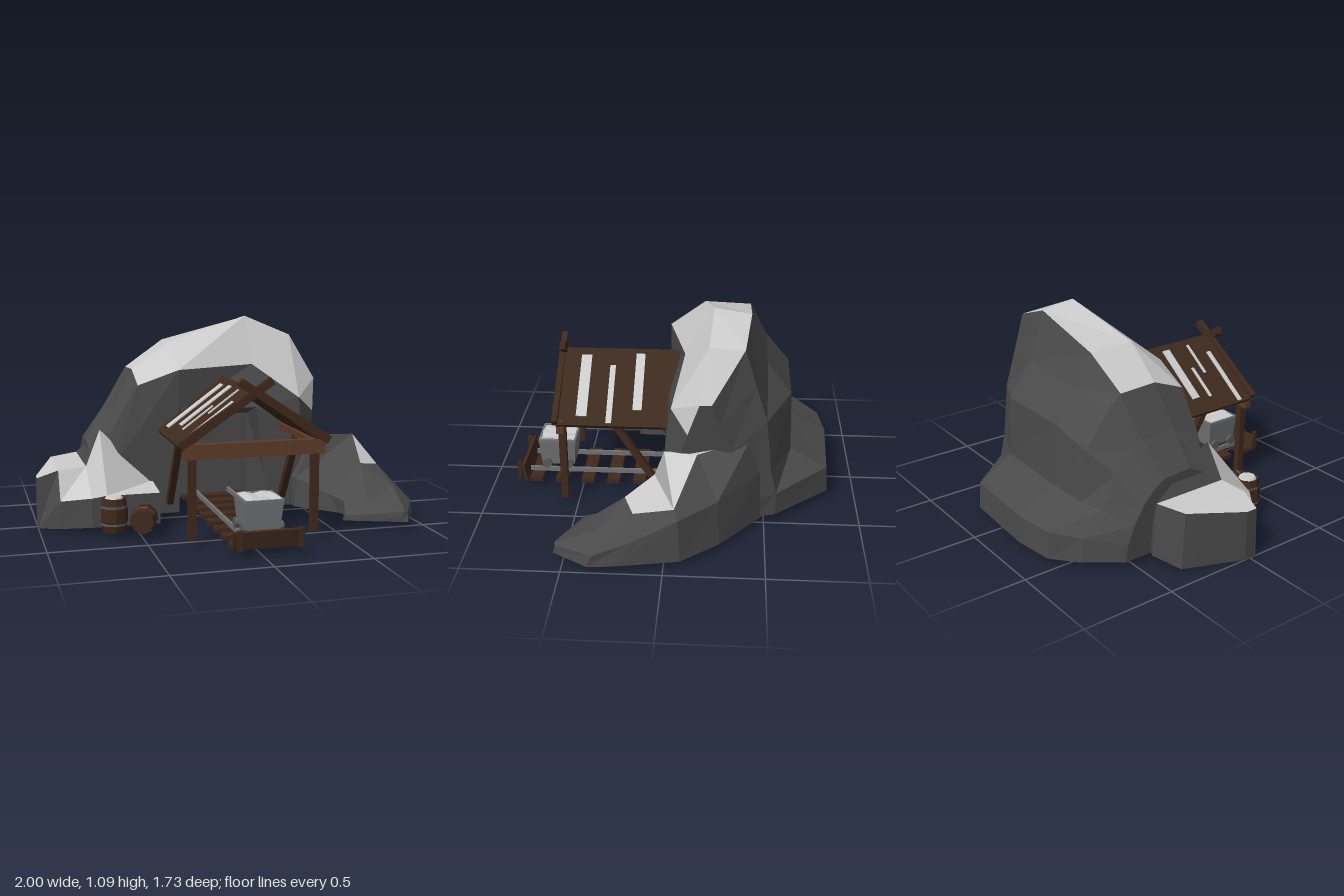
import * as THREE from 'three';

const mat = (color) => new THREE.MeshStandardMaterial({ color, flatShading: true, side: THREE.DoubleSide });
const ROCK = mat(0x4a4a4a), SNOW = mat(0xcccccc), WOOD = mat(0x40291d), PLANK = mat(0x3d2a1e),
  BEAM = mat(0x5e3c28), IRON = mat(0x707274), BAND = mat(0x5a5a5a);
const CX = 0.03; // centre line of shelter and track
const BASE = 0.035;

function add(parent, name, geo, material, x = 0, y = 0, z = 0) {
  const m = new THREE.Mesh(geo, material);
  m.name = name;
  m.position.set(x, y, z);
  parent.add(m);
  return m;
}

const box = (parent, name, material, w, h, d, x, y, z) =>
  add(parent, name, new THREE.BoxGeometry(w, h, d), material, x, y, z);

// Beam with a square section between two points
function strut(parent, name, material, a, b, w, d) {
  const p = new THREE.Vector3(...a), q = new THREE.Vector3(...b);
  const m = box(parent, name, material, w, p.distanceTo(q), d, 0, 0, 0);
  m.position.copy(p).add(q).multiplyScalar(0.5);
  m.quaternion.setFromUnitVectors(new THREE.Vector3(0, 1, 0), q.sub(p).normalize());
}

// Faceted shell, open underneath, through arched sections; isSnow(i, j) picks the snowy patches
function loftRock(parent, name, rings, isSnow) {
  const rock = [], snow = [], n = rings[0].length;
  const tri = (out, ...pts) => pts.forEach((p) => out.push(...p));
  for (let i = 0; i < rings.length - 1; i++) {
    for (let j = 0; j < n - 1; j++) {
      const out = isSnow(i, j) ? snow : rock;
      const a = rings[i][j], b = rings[i + 1][j], c = rings[i + 1][j + 1], d = rings[i][j + 1];
      tri(out, a, b, c);
      tri(out, a, c, d);
    }
  }
  const first = rings[0], last = rings[rings.length - 1];
  for (let j = 1; j < n - 1; j++) {
    tri(rock, first[0], first[j], first[j + 1]);
    tri(rock, last[0], last[j + 1], last[j]);
  }
  const g = new THREE.Group();
  g.name = name;
  for (const [label, pos, m] of [['rock', rock, ROCK], ['snowCover', snow, SNOW]]) {
    const geo = new THREE.BufferGeometry();
    geo.setAttribute('position', new THREE.Float32BufferAttribute(pos, 3));
    geo.computeVertexNormals();
    add(g, label, geo, m);
  }
  parent.add(g);
}

function buildHill(root) {
  // x, front z, then (z, y) pairs from the front lip over the ridge to the back, then back z
  const rows = [
    [-0.71, 0.0, 0, 0.2, -0.06, 0.38, -0.16, 0.43, -0.32, 0.42, -0.38, 0.38, -0.44, 0.32, -0.5, 0.22, -0.54, 0.12, -0.55],
    [-0.58, 0.03, 0.03, 0.35, 0, 0.53, -0.15, 0.58, -0.36, 0.59, -0.42, 0.55, -0.52, 0.45, -0.6, 0.28, -0.71, 0.16, -0.73],
    [-0.45, 0.03, 0.03, 0.5, 0.0, 0.74, -0.18, 0.81, -0.39, 0.8, -0.46, 0.74, -0.6, 0.55, -0.63, 0.28, -0.83, 0.18, -0.84],
    [-0.23, 0.03, 0.03, 0.6, 0.03, 0.82, -0.16, 0.96, -0.41, 0.95, -0.5, 0.78, -0.63, 0.62, -0.65, 0.29, -0.86, 0.18, -0.87],
    [0.21, 0.03, 0.02, 0.6, -0.07, 0.83, -0.22, 1.09, -0.41, 1.06, -0.5, 0.79, -0.63, 0.62, -0.64, 0.29, -0.84, 0.18, -0.85],
    [0.47, 0.02, 0.02, 0.42, -0.01, 0.64, -0.2, 0.98, -0.38, 0.97, -0.44, 0.77, -0.5, 0.58, -0.53, 0.29, -0.56, 0.16, -0.56],
    [0.6, -0.04, -0.05, 0.38, -0.1, 0.55, -0.16, 0.73, -0.22, 0.73, -0.26, 0.6, -0.32, 0.45, -0.38, 0.28, -0.44, 0.15, -0.46],
  ];
  const rings = rows.map((r) => {
    const ring = [[r[0], BASE, r[1]], [r[0], 0.2, r[1]]];
    for (let k = 2; k < 18; k += 2) ring.push([r[0], r[k + 1], r[k]]);
    ring.push([r[0], BASE, r[18]]);
    return ring;
  });
  // The end of the ridge overhangs its foot
  for (const p of rings[6]) p[0] = 0.5 + 0.15 * p[1];
  // Cave mouth: the foot of the front steps back between the two middle rings
  const carve = (ring, inset) => [
    [ring[0][0] + inset, BASE, -0.3], [ring[0][0] + inset, 0.52, -0.3], ...ring.slice(2)];
  rings.splice(4, 0, carve(rings[3], 0.05), carve(rings[4], 0.04));
  for (const k of [0, 1]) rings[6][k][0] += 0.05;
  loftRock(root, 'hill', rings, (i, j) => i >= 2 && (j === 3 || j === 4));

  // Low spur on one side of the track, curling forward
  const spur = [
    [[0.42, BASE, 0], [0.42, 0.2, 0.02], [0.5, 0.41, -0.03], [0.5, 0.5, -0.42], [0.5, 0.3, -0.47], [0.51, BASE, -0.48]],
    [[0.42, BASE, 0.07], [0.43, 0.2, 0.07], [0.54, 0.43, 0.02], [0.6, 0.45, -0.15], [0.75, 0.27, -0.26], [0.77, BASE, -0.27]],
    [[0.61, BASE, 0.27], [0.57, 0.13, 0.22], [0.77, 0.43, 0.05], [0.88, 0.3, -0.05], [0.92, 0.26, -0.07], [0.93, BASE, -0.08]],
    [[0.62, BASE, 0.31], [0.62, 0.11, 0.31], [0.76, 0.29, 0.2], [0.88, 0.27, 0.15], [0.97, 0.15, 0.18], [0.99, BASE, 0.24]],
    [[0.57, BASE, 0.43], [0.58, 0.06, 0.43], [0.72, 0.12, 0.41], [0.9, 0.18, 0.33], [1, 0.1, 0.34], [1, BASE, 0.37]],
    [[0.86, BASE, 0.54], [0.86, 0.06, 0.54], [0.87, 0.09, 0.54], [0.88, 0.09, 0.54], [0.89, 0.08, 0.54], [0.89, BASE, 0.55]],
  ];
  loftRock(root, 'rightSpur', spur, (i, j) => i < 3 && j === 2);

  // Boulder on the other side, undercut at its tip
  const boulder = [
    [-1, 0.04, 0, 0.04, 0.15, 0.03, 0.27, -0.03, 0.27, -0.03, 0],
    [-0.89, 0.12, 0.01, 0.13, 0.16, 0.05, 0.31, -0.33, 0.31, -0.35, 0.01],
    [-0.74, 0.23, BASE, 0.23, 0.19, 0.03, 0.32, -0.39, 0.32, -0.41, BASE],
    [-0.66, 0.23, BASE, 0.23, 0.2, 0, 0.51, -0.06, 0.48, -0.38, BASE],
    [-0.38, 0.23, BASE, 0.23, 0.2, 0.02, 0.22, -0.05, 0.22, -0.3, BASE],
  ].map((r) => [1, 3, 5, 7, 9].map((k) => [r[0], r[k + 1], r[k]]));
  boulder[0][1][0] = -0.95;
  loftRock(root, 'leftBoulder', boulder, (i, j) => j === 2 ? i < 2 : j === 1 && i > 0);
}

function buildShelter(root) {
  const g = new THREE.Group();
  g.name = 'shelter';
  root.add(g);
  const half = 0.378, eave = 0.495, ridge = 0.77;
  const pitch = Math.atan2(ridge - eave, half);
  const c = Math.cos(pitch);
  box(g, 'frontBeam', BEAM, 0.74, 0.075, 0.04, CX, 0.478, 0.575);
  for (const s of [-1, 1]) {
    box(g, 'post', WOOD, 0.038, 0.41, 0.038, CX + s * 0.32, BASE + 0.205, 0.57);
    box(g, 'sideBeam', BEAM, 0.04, 0.035, 0.62, CX + s * 0.33, 0.492, 0.28);
    strut(g, 'brace', WOOD, [CX + s * 0.32, 0.48, 0.29], [CX + s * 0.32, 0.1, 0.05], 0.035, 0.035);
    // Crossed gable rafters
    strut(g, 'gableRafter', WOOD, [CX + s * 0.385, 0.51, 0.595 + s * 0.004],
      [CX - s * 0.085, 0.82, 0.595 + s * 0.004], 0.042, 0.03);
    // Roof slope, with its snow strips given as [inner, outer, z, width]
    const slope = new THREE.Group();
    slope.name = 'roofSlope';
    slope.position.set(CX, ridge, 0);
    slope.rotation.z = -s * pitch;
    g.add(slope);
    box(slope, 'roofBoards', PLANK, half / c, 0.022, 0.64, s * half / c / 2, -0.006, 0.27);
    const strips = s < 0
      ? [[0.04, 0.34, 0.117, 0.055], [0.03, 0.3, 0.25, 0.048], [0.15, 0.31, 0.345, 0.017],
        [0.03, 0.19, 0.405, 0.015], [0.09, 0.37, 0.51, 0.026]]
      : [[0.025, 0.3, 0.175, 0.048], [0.085, 0.365, 0.32, 0.03], [0.035, 0.335, 0.465, 0.056]];
    for (const [a, b, z, w] of strips) {
      box(slope, 'snowStrip', SNOW, (b - a) / c, 0.008, w, s * (a + b) / 2 / c, 0.007, z);
    }
  }
}

function buildTrack(root) {
  const g = new THREE.Group();
  g.name = 'track';
  root.add(g);
  for (let i = 0; i < 8; i++) box(g, 'sleeper', WOOD, 0.36, 0.025, 0.07, CX, BASE + 0.013, 0.755 - i * 0.143);
  for (const s of [-1, 1]) {
    box(g, 'rail', IRON, 0.015, 0.025, 1.08, CX + s * 0.1, 0.075, 0.26);
    box(g, 'bufferPost', WOOD, 0.022, 0.1, 0.022, CX + s * 0.155, 0.09, 0.85);
  }
  const board = box(g, 'bufferBoard', WOOD, 0.36, 0.09, 0.018, CX, 0.083, 0.82);
  board.rotation.x = 0.2;
}

function buildCart(root) {
  const g = new THREE.Group();
  g.name = 'mineCart';
  g.position.set(CX, 0, 0.645);
  root.add(g);
  // Tub flaring towards its rim
  const tub = new THREE.BoxGeometry(0.2, 0.15, 0.205);
  const p = tub.attributes.position;
  for (let i = 0; i < p.count; i++) {
    if (p.getY(i) < 0) p.setXYZ(i, p.getX(i) * 0.84, p.getY(i), p.getZ(i) * 0.88);
  }
  add(g, 'tub', tub, IRON, 0, 0.172, 0);
  for (const s of [-1, 1]) {
    box(g, 'rim', IRON, 0.012, 0.014, 0.205, s * 0.096, 0.248, 0);
    box(g, 'rim', IRON, 0.19, 0.014, 0.012, 0, 0.248, s * 0.098);
    for (const z of [-0.06, 0.06]) {
      const wheel = add(g, 'wheel', new THREE.CylinderGeometry(0.027, 0.027, 0.018, 10), BAND, s * 0.1, 0.11, z);
      wheel.rotation.z = Math.PI / 2;
    }
  }
  // Bumpy snow load
  const load = new THREE.PlaneGeometry(0.18, 0.19, 4, 4).rotateX(-Math.PI / 2);
  const q = load.attributes.position;
  for (let i = 0; i < q.count; i++) q.setY(i, 0.006 * Math.sin(i * 2.4));
  add(g, 'load', load, SNOW, 0, 0.253, 0);
}

function buildBarrel(root, name, snowy) {
  const g = new THREE.Group();
  g.name = name;
  root.add(g);
  const profile = [[0, -0.08], [0.052, -0.08], [0.052, -0.087], [0.06, -0.087], [0.07, -0.03], [0.07, 0.03],
    [0.06, 0.087], [0.052, 0.087], [0.052, 0.08], [0, 0.08]].map(([x, y]) => new THREE.Vector2(x, y));
  add(g, 'staves', new THREE.LatheGeometry(profile, 9), WOOD);
  for (const y of [-0.045, 0.045]) {
    add(g, 'hoop', new THREE.CylinderGeometry(0.07, 0.07, 0.012, 9, 1, true), BAND, 0, y, 0);
  }
  if (snowy) add(g, 'snowTop', new THREE.CylinderGeometry(0.042, 0.053, 0.018, 9), SNOW, 0, 0.085, 0);
  return g;
}

export function createModel() {
  const root = new THREE.Group();
  root.name = 'mineEntrance';
  buildHill(root);
  buildShelter(root);
  buildTrack(root);
  buildCart(root);
  buildBarrel(root, 'standingBarrel', true).position.set(-0.638, 0.122, 0.31);
  const lying = buildBarrel(root, 'lyingBarrel', false);
  lying.position.set(-0.487, 0.098, 0.333);
  lying.rotation.set(Math.PI / 2, 0, 0.3);
  return root;
}
